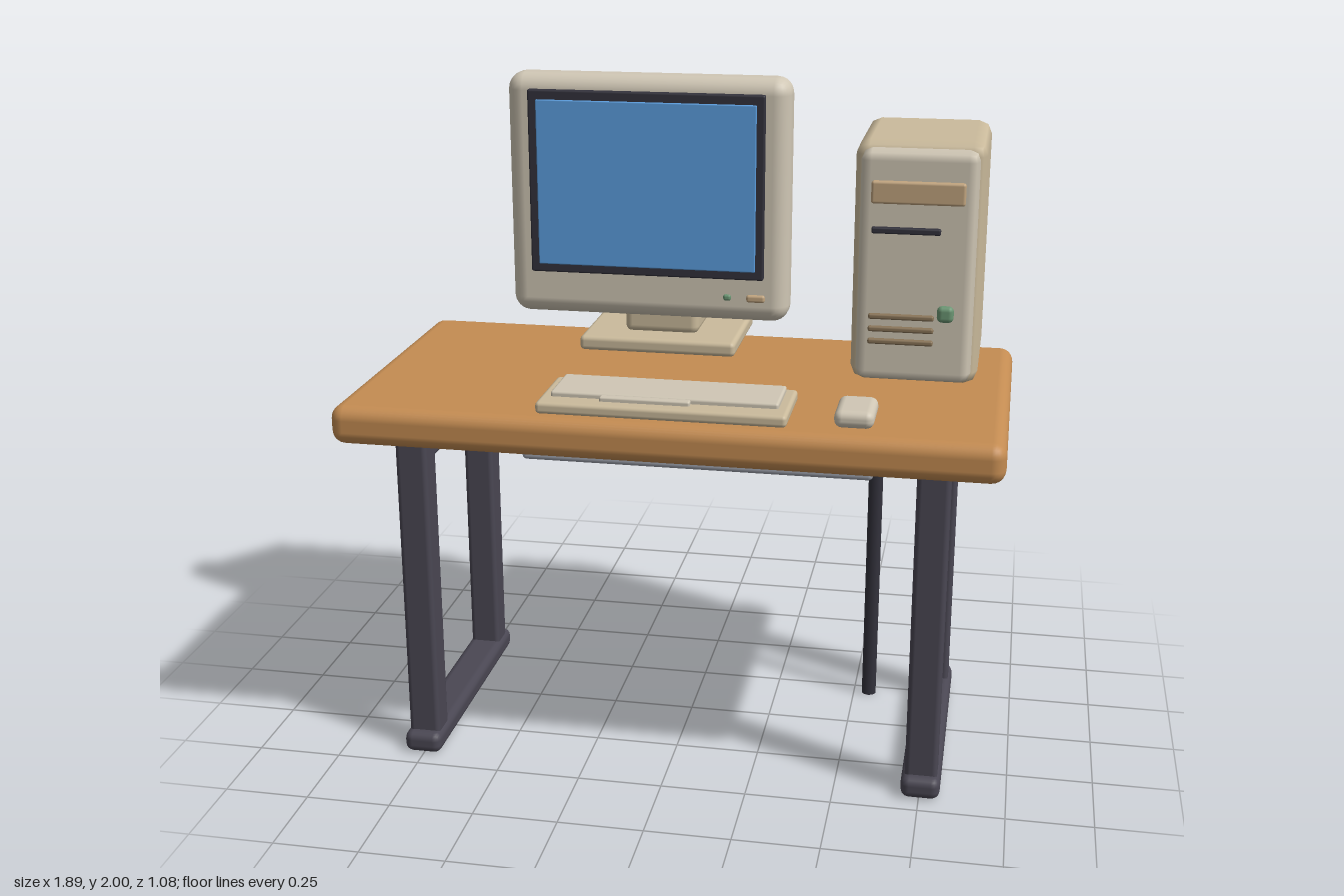
import * as THREE from 'three';
import { RoundedBoxGeometry } from 'three/addons/geometries/RoundedBoxGeometry.js';
import { toCreasedNormals } from 'three/addons/utils/BufferGeometryUtils.js';

const paint = (color) => new THREE.MeshStandardMaterial({ color });
const wood = paint(0xc48c52), metal = paint(0x4a4753), dark = paint(0x33323c), steel = paint(0xa3a7b2);
const cream = paint(0xd0c7b5), beige = paint(0xcbbb9c), tan = paint(0xc2a57f), slotTan = paint(0x8a7558);
const blue = paint(0x5c9fe0), green = paint(0x6b9673);

export function createModel() {
  const model = new THREE.Group();

  const group = (name) => {
    const g = new THREE.Group();
    g.name = name;
    model.add(g);
    return g;
  };

  // Soft-edged block given by its [min, max] range on each axis
  const block = (parent, name, material, [x0, x1], [y0, y1], [z0, z1], radius = 0.01, segments = 2) => {
    const size = [x1 - x0, y1 - y0, z1 - z0];
    const r = Math.min(radius, Math.min(...size) * 0.48);
    const mesh = new THREE.Mesh(new RoundedBoxGeometry(...size, segments, r), material);
    mesh.position.set((x0 + x1) / 2, (y0 + y1) / 2, (z0 + z1) / 2);
    mesh.name = name;
    parent.add(mesh);
    return mesh;
  };

  // Desk: top, two side frames, tray and thin support post
  const desk = group('desk');
  block(desk, 'tabletop', wood, [-0.947, 0.947], [1.015, 1.13], [-0.445, 0.54], 0.04, 3);
  for (const side of [-1, 1]) {
    const x = side * 0.753;
    for (const z of [0.368, -0.268]) {
      block(desk, 'leg', metal, [x - 0.047, x + 0.047], [0.04, 1.015], [z - 0.047, z + 0.047], 0.015);
    }
    block(desk, 'footRail', metal, [x - 0.057, x + 0.057], [0, 0.066], [-0.345, 0.445], 0.025);
    block(desk, 'upperRail', metal, [x - 0.038, x + 0.038], [0.915, 0.99], [-0.25, 0.35], 0.015);
  }
  block(desk, 'tray', steel, [-0.555, 0.55], [0.79, 0.92], [-0.28, -0.05], 0.015);
  const post = new THREE.Mesh(new THREE.CylinderGeometry(0.023, 0.023, 0.81, 10), dark);
  post.position.set(0.548, 0.405, -0.212);
  post.name = 'supportPost';
  desk.add(post);

  // Monitor: stand, bezel, screen and controls
  const monitor = group('monitor');
  block(monitor, 'standBase', beige, [-0.385, 0.105], [1.13, 1.176], [-0.54, -0.15], 0.015);
  block(monitor, 'standNeck', beige, [-0.26, -0.025], [1.17, 1.255], [-0.44, -0.24], 0.025);
  block(monitor, 'bezel', cream, [-0.565, 0.281], [1.275, 2], [-0.163, -0.035], 0.05, 3);
  block(monitor, 'screenFrame', dark, [-0.495, 0.21], [1.41, 1.955], [-0.06, -0.018], 0.006);
  block(monitor, 'screen', blue, [-0.47, 0.186], [1.435, 1.927], [-0.05, -0.014], 0.004);
  block(monitor, 'powerLight', green, [0.088, 0.112], [1.342, 1.362], [-0.045, -0.028], 0.008);
  block(monitor, 'monitorButton', tan, [0.158, 0.214], [1.34, 1.363], [-0.045, -0.026], 0.008);

  // Tapered tube housing: side profile (depth, height) extruded across the width
  const bevel = 0.03;
  const profile = [[0.13, 1.345], [0.36, 1.375], [0.408, 1.41], [0.428, 1.725], [0.41, 1.765], [0.165, 1.95], [0.13, 1.95]];
  const shape = new THREE.Shape(profile.map(([d, y]) => new THREE.Vector2(d, y)));
  const width = 0.705;
  const housingGeometry = new THREE.ExtrudeGeometry(shape, {
    depth: width - 2 * bevel, bevelEnabled: true, bevelThickness: bevel, bevelSize: bevel, bevelSegments: 3,
  });
  housingGeometry.rotateY(Math.PI / 2);
  const housing = new THREE.Mesh(toCreasedNormals(housingGeometry, 0.7), beige);
  housing.position.x = -0.495 + bevel;
  housing.name = 'tubeHousing';
  monitor.add(housing);
  for (const y of [1.55, 1.615, 1.68]) {
    block(monitor, 'housingVent', slotTan, [0.19, 0.234], [y - 0.012, y + 0.012], [-0.37, -0.235], 0.008);
  }

  // Computer tower: case, front panel, drive, power button and vents
  const tower = group('computerTower');
  block(tower, 'case', beige, [0.475, 0.847], [1.13, 1.842], [-0.452, 0.018], 0.04, 1);
  block(tower, 'frontPanel', cream, [0.495, 0.828], [1.15, 1.825], [-0.01, 0.07], 0.03, 1);
  block(tower, 'driveBay', tan, [0.528, 0.793], [1.675, 1.74], [0.05, 0.085], 0.008);
  block(tower, 'diskSlot', dark, [0.532, 0.728], [1.59, 1.608], [0.05, 0.086], 0.005);
  block(tower, 'powerButton', green, [0.726, 0.774], [1.335, 1.384], [0.05, 0.085], 0.015);
  for (const y of [1.272, 1.309, 1.346]) {
    block(tower, 'frontVent', slotTan, [0.53, 0.718], [y - 0.008, y + 0.008], [0.05, 0.082], 0.006);
  }

  // Keyboard with key bed and space bar
  const keyboard = group('keyboard');
  block(keyboard, 'keyboardBase', beige, [-0.355, 0.352], [1.13, 1.165], [0.238, 0.492], 0.012);
  block(keyboard, 'keyBed', cream, [-0.325, 0.322], [1.15, 1.18], [0.255, 0.43], 0.008);
  block(keyboard, 'spaceBar', cream, [-0.18, 0.077], [1.15, 1.178], [0.427, 0.453], 0.006);

  // Mouse
  block(model, 'mouse', cream, [0.477, 0.587], [1.13, 1.18], [0.302, 0.468], 0.022, 3);

  return model;
}
